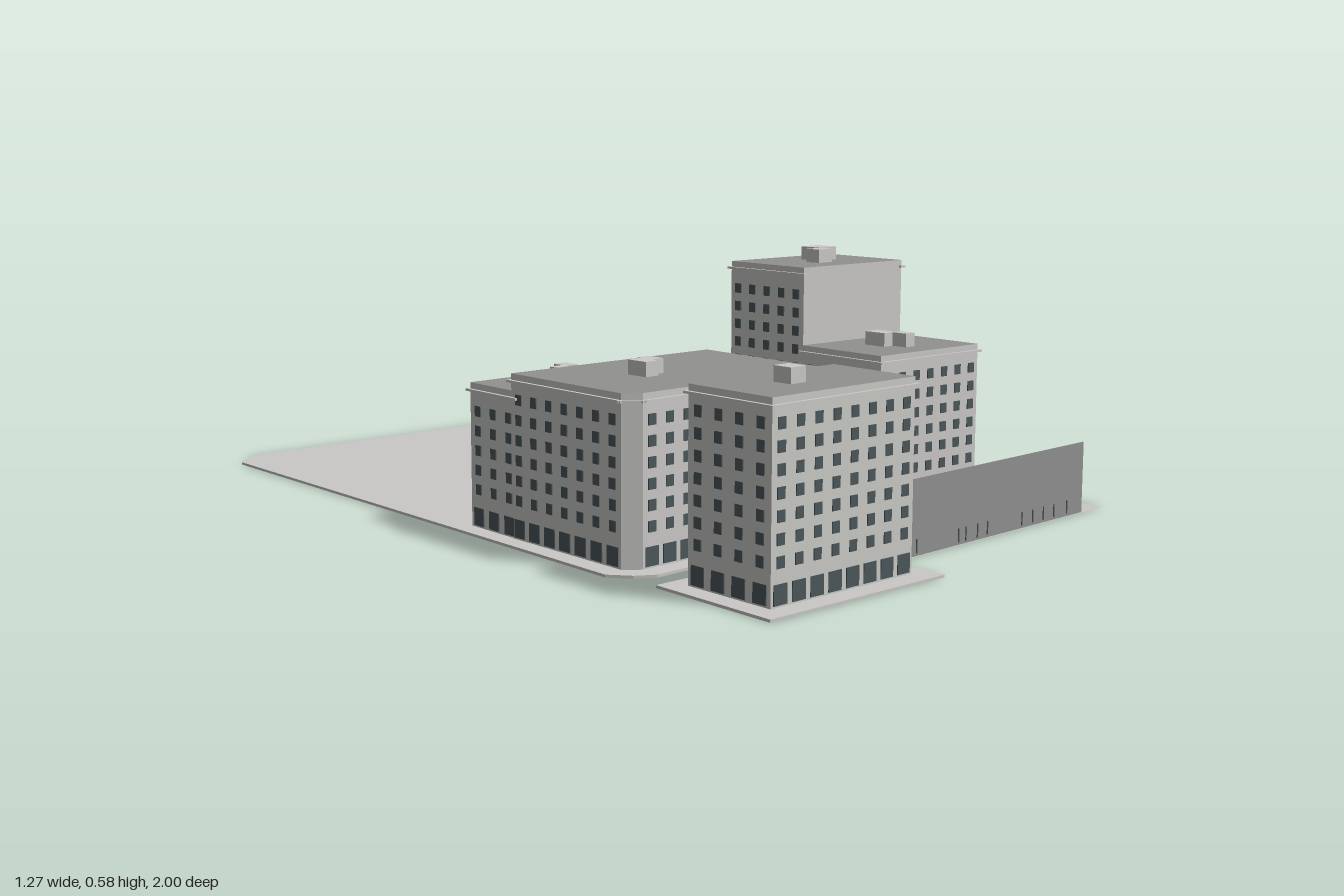
import * as THREE from 'three';
import { mergeGeometries } from 'three/addons/utils/BufferGeometryUtils.js';

const mat = (name, color, extra = {}) =>
  Object.assign(new THREE.MeshStandardMaterial({ color, ...extra }), { name });

export function createModel() {
  const light = mat('pale concrete', 0xcbcac7);
  const dark = mat('roof grey', 0x919190, { side: THREE.DoubleSide });
  const glass = mat('window glass', 0x4c5759);
  const paving = mat('paving', 0xcac9c6, { side: THREE.DoubleSide });
  const model = new THREE.Group();
  model.name = 'cityBlock';

  const add = (parent, name, geometry, material) => {
    const mesh = new THREE.Mesh(geometry, material);
    mesh.name = name;
    parent.add(mesh);
    return mesh;
  };

  // Upright prism over a footprint of [x, z] corners
  const prism = (pts, y0, y1) => {
    const shape = new THREE.Shape(pts.map(([x, z]) => new THREE.Vector2(x, -z)));
    return new THREE.ExtrudeGeometry(shape, { depth: y1 - y0, bevelEnabled: false })
      .rotateX(-Math.PI / 2).translate(0, y0, 0);
  };

  // Building: corners run back-left, back-right, front-right, front-left.
  // blank lists the walls without windows; huts are [x0, x1, z0, z1].
  const building = (name, pts, h, blank, huts) => {
    const g = new THREE.Group();
    g.name = name;
    model.add(g);
    add(g, 'walls', prism(pts, 0.001, h), [dark, light]);
    const panes = [], ledges = [];
    const rows = Math.floor((h - 0.14) / 0.0433 + 0.05) + 1;
    pts.forEach(([ax, az], i) => {
      if (blank.includes(i)) return;
      const [bx, bz] = pts[(i + 1) % pts.length];
      const dx = bx - ax, dz = bz - az, len = Math.hypot(dx, dz);
      const place = (geo, t, y) => geo.rotateY(Math.atan2(-dz, dx))
        .translate(ax + dx * t, y, az + dz * t);
      ledges.push(place(new THREE.BoxGeometry(len + 0.014, 0.005, 0.016), 0.5, h - 0.016));
      if (len < 0.08) return;
      const cols = Math.round(len / 0.0495);
      for (let c = 0; c < cols; c++) {
        const t = (c + 0.5) / cols;
        panes.push(place(new THREE.BoxGeometry(0.035, 0.04, 0.004), t, 0.03));
        for (let r = 0; r < rows; r++)
          panes.push(place(new THREE.BoxGeometry(0.02, 0.023, 0.004), t, 0.091 + r * 0.0433));
      }
    });
    add(g, 'windows', mergeGeometries(panes), glass);
    add(g, 'cornice', mergeGeometries(ledges), light);
    huts.forEach(([x0, x1, z0, z1]) => add(g, 'roofHut',
      prism([[x0, z0], [x1, z0], [x1, z1], [x0, z1]], h - 0.002, h + 0.032), light));
  };

  // Ground slabs and the thin yard sheet
  add(model, 'mainGround', prism([
    [-0.58, -0.94], [-0.5, -1], [0.545, -0.962], [0.632, -0.92], [0.61, -0.2], [0.585, 0.58],
    [0.56, 0.62], [-0.56, 0.615], [-0.6, 0.59], [-0.635, 0.545]], 0, 0.006), paving);
  add(model, 'cornerGround', prism(
    [[-0.615, 0.67], [-0.135, 0.69], [-0.145, 1], [-0.625, 0.982]], 0, 0.006), paving);
  add(model, 'yard', new THREE.PlaneGeometry(1.06, 1.06)
    .rotateX(-Math.PI / 2).translate(0.09, 0.001, 0.33), paving);

  // Boundary wall with narrow slots along its foot
  add(model, 'boundaryWall', new THREE.PlaneGeometry(0.72, 0.164).translate(0.18, 0.083, 0.857), dark);
  const slots = [-0.155, -0.135, -0.11, -0.09, -0.055, 0.085, 0.11, 0.15, 0.185, 0.31, 0.35, 0.39, 0.43, 0.48]
    .map(x => new THREE.BoxGeometry(0.003, 0.03, 0.003).translate(x, 0.022, 0.857));
  add(model, 'wallSlots', mergeGeometries(slots), glass);

  // Buildings
  building('frontLeftBlock',
    [[-0.573, 0.715], [-0.178, 0.732], [-0.187, 0.95], [-0.577, 0.937]], 0.4, [],
    [[-0.44, -0.398, 0.81, 0.855]]);
  building('middleBlock',
    [[-0.58, 0.185], [-0.015, 0.2], [-0.03, 0.577], [-0.555, 0.568], [-0.588, 0.54]], 0.362, [],
    [[-0.41, -0.375, 0.365, 0.42], [-0.375, -0.342, 0.355, 0.4]]);
  building('middleRearWing',
    [[-0.572, 0.032], [-0.173, 0.037], [-0.178, 0.21], [-0.579, 0.2]], 0.325, [0, 2],
    [[-0.435, -0.4, 0.138, 0.175], [-0.4, -0.368, 0.11, 0.15]]);
  building('rightFrontBlock',
    [[0.202, 0.3], [0.536, 0.318], [0.525, 0.565], [0.193, 0.547]], 0.362, [0],
    [[0.32, 0.362, 0.392, 0.45], [0.35, 0.382, 0.45, 0.49]]);
  building('rightRearTower',
    [[0.21, 0.057], [0.545, 0.072], [0.536, 0.32], [0.202, 0.302]], 0.545, [0, 2],
    [[0.37, 0.43, 0.14, 0.2], [0.323, 0.37, 0.2, 0.24]]);

  return model;
}
